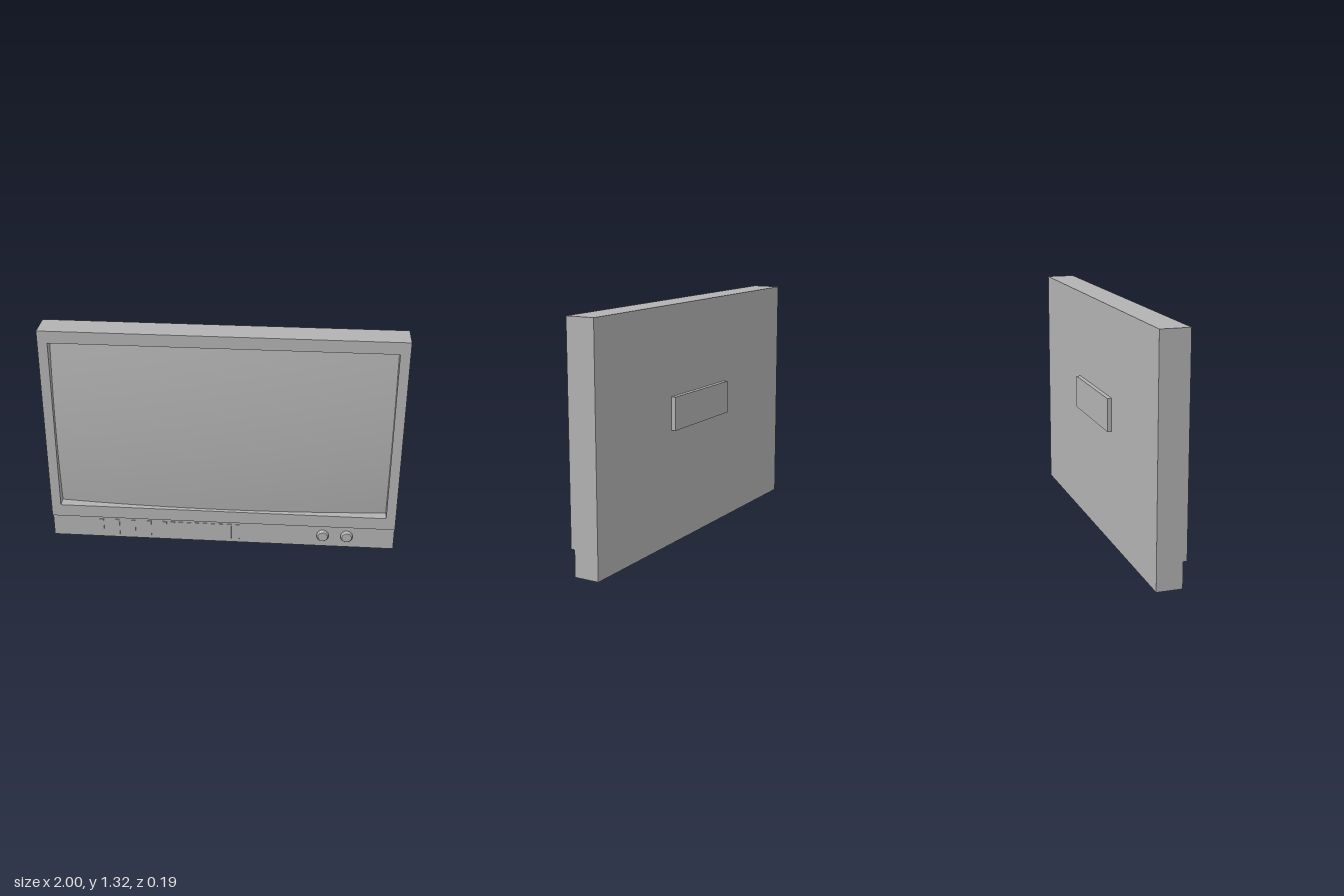
import * as THREE from 'three';

export function createModel() {
  const group = new THREE.Group();
  const grey = new THREE.MeshStandardMaterial({ color: 0xb2b2b2 });
  grey.name = 'casing grey';

  const add = (name, geometry, x = 0, y = 0, z = 0) => {
    const mesh = new THREE.Mesh(geometry, grey);
    mesh.name = name;
    mesh.position.set(x, y, z);
    group.add(mesh);
    return mesh;
  };
  // Box given by its limits on each axis
  const box = (name, x0, x1, y0, y1, z0, z1) =>
    add(name, new THREE.BoxGeometry(x1 - x0, y1 - y0, z1 - z0),
      (x0 + x1) / 2, (y0 + y1) / 2, (z0 + z1) / 2);
  const rect = (path, x0, x1, y0, y1) =>
    path.moveTo(x0, y0).lineTo(x1, y0).lineTo(x1, y1).lineTo(x0, y1).closePath();

  const back = -0.072, front = 0.09, panelZ = 0.069, recess = 0.015;
  const panelTop = 0.145, height = 1.32;
  const screen = { w: 1.89, h: 1.03, y: 0.735 };

  // Casing: solid rear, front bezel with an opening, set-back control strip
  box('rearCasing', -1, 1, panelTop, height, back, recess);
  box('controlPanel', -1, 1, 0, panelTop, back, panelZ);
  const bezel = new THREE.Shape();
  rect(bezel, -1, 1, panelTop, height);
  const opening = new THREE.Path();
  rect(opening, -screen.w / 2, screen.w / 2, screen.y - screen.h / 2, screen.y + screen.h / 2);
  bezel.holes.push(opening);
  add('bezel', new THREE.ExtrudeGeometry(bezel, { depth: front - recess, bevelEnabled: false }), 0, 0, recess);

  // Gently domed screen
  const dome = new THREE.PlaneGeometry(screen.w, screen.h, 28, 16);
  const p = dome.attributes.position;
  for (let i = 0; i < p.count; i++) {
    p.setZ(i, 0.097 - 0.044 * p.getX(i) ** 2 - 0.112 * p.getY(i) ** 2);
  }
  dome.computeVertexNormals();
  add('screen', dome, 0, screen.y, 0);

  // Slim ribs on the control strip: four widely spaced, ten close together
  for (let i = 0; i < 14; i++) {
    const right = i < 4 ? -0.7 + i * 0.094 : -0.326 + (i - 4) * 0.0475;
    box('speakerRib', right - 0.024, right, 0.022, 0.122, panelZ - 0.004, panelZ + 0.006);
  }

  // Two knobs with bevelled rims
  const knobProfile = [[0, 0], [0.035, 0], [0.035, 0.011], [0.028, 0.021], [0, 0.021]]
    .map(([r, h]) => new THREE.Vector2(r, h));
  const knobGeometry = new THREE.LatheGeometry(knobProfile, 20).toNonIndexed();
  knobGeometry.computeVertexNormals();
  for (const x of [0.588, 0.727]) {
    add('knob', knobGeometry, x, 0.075, panelZ).rotation.x = Math.PI / 2;
  }

  // Mounting plate on the back
  box('rearPlate', -0.293, 0.293, 0.64, 0.825, -0.097, back);

  return group;
}
